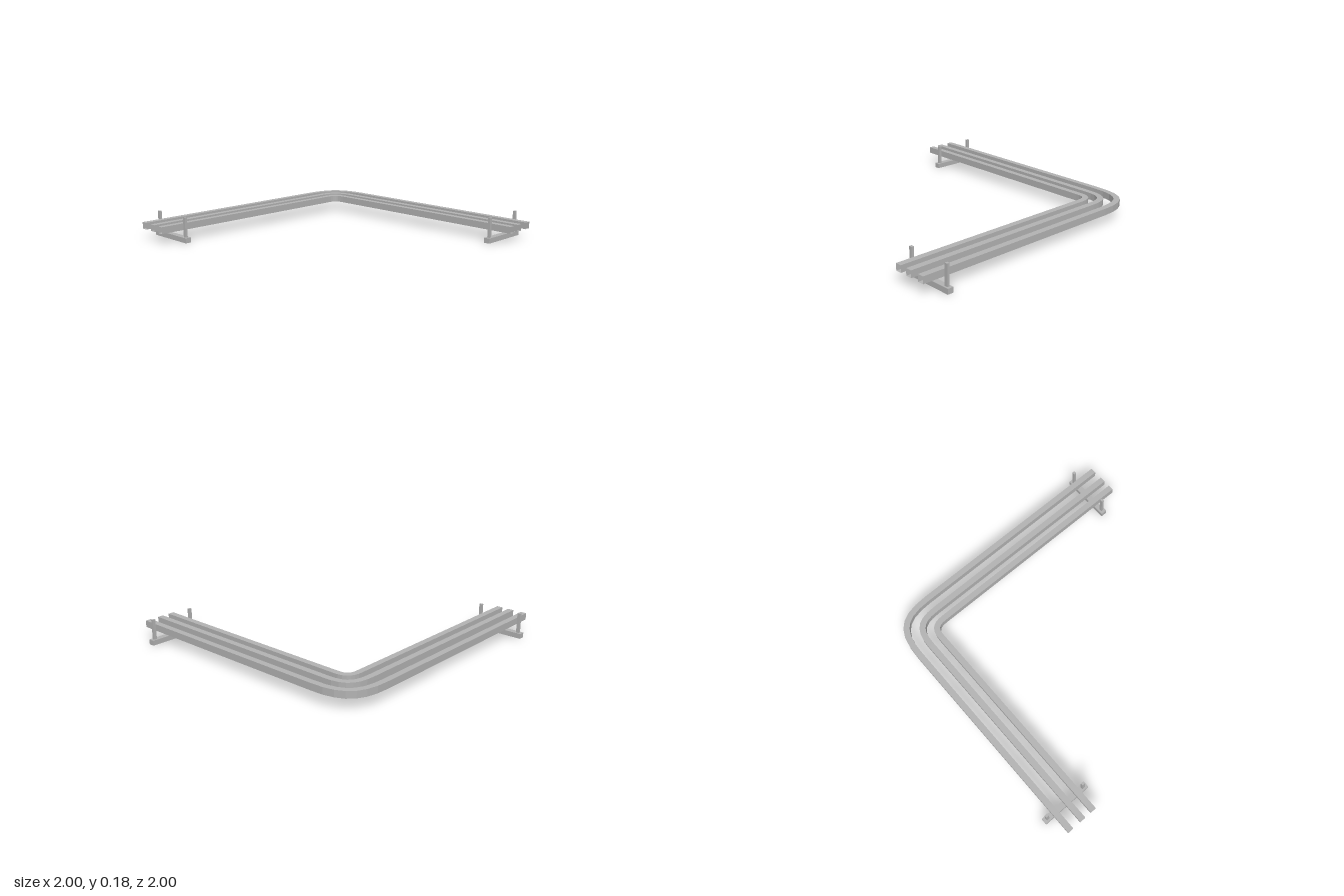
import * as THREE from 'three';

const steel = new THREE.MeshStandardMaterial({ color: 0xb2b2b2, side: THREE.DoubleSide });
steel.name = 'galvanised grey';

// Square duct with open ends, swept along a flat path with mitred corners
function ductGeometry(path, width, y0, y1) {
  const rings = path.map((p, i) => {
    const a = path[Math.max(i - 1, 0)], b = path[Math.min(i + 1, path.length - 1)];
    const d1 = (i > 0 ? p.clone().sub(a) : b.clone().sub(p)).normalize();
    const d2 = (i < path.length - 1 ? b.clone().sub(p) : d1.clone()).normalize();
    const t = d1.clone().add(d2).normalize();
    const h = width / 2 / t.dot(d1);
    const nx = -t.y * h, nz = t.x * h;
    return [[1, y0], [1, y1], [-1, y1], [-1, y0]].map(([s, y]) => [p.x + s * nx, y, p.y + s * nz]);
  });
  const pos = [];
  for (let i = 0; i < rings.length - 1; i++) {
    for (let j = 0; j < 4; j++) {
      const k = (j + 1) % 4;
      const a = rings[i][j], b = rings[i][k], c = rings[i + 1][k], d = rings[i + 1][j];
      pos.push(...a, ...d, ...c, ...a, ...c, ...b);
    }
  }
  const geometry = new THREE.BufferGeometry();
  geometry.setAttribute('position', new THREE.Float32BufferAttribute(pos, 3));
  geometry.computeVertexNormals();
  return geometry;
}

// L-shaped route: front end, rounded corner, side end
function routePath(c, r) {
  const v = (x, z) => new THREE.Vector2(x, z);
  const bend = new THREE.CubicBezierCurve(
    v(c, c + r), v(c, c + r * 0.25), v(c + r * 0.25, c), v(c + r, c));
  return [v(c, 1), ...bend.getPoints(7), v(1, c)];
}

function box(name, w, h, d, x, y, z) {
  const mesh = new THREE.Mesh(new THREE.BoxGeometry(w, h, d), steel);
  mesh.name = name;
  mesh.position.set(x, y, z);
  return mesh;
}

// Trapeze hanger: cross bar with two upright rods
function hanger(name) {
  const group = new THREE.Group();
  group.name = name;
  group.add(box('crossBar', 0.375, 0.036, 0.044, 0, 0.018, 0));
  for (const s of [-1, 1]) {
    group.add(box('hangerRod', 0.022, 0.144, 0.018, s * 0.157, 0.108, 0));
  }
  return group;
}

export function createModel() {
  const model = new THREE.Group();
  model.name = 'ductRun';

  // Three parallel ducts, outer to inner
  [['outerDuct', -0.911, 0.3], ['middleDuct', -0.806, 0.19], ['innerDuct', -0.714, 0.105]]
    .forEach(([name, c, r]) => {
      const mesh = new THREE.Mesh(ductGeometry(routePath(c, r), 0.043, 0.08, 0.128), steel);
      mesh.name = name;
      model.add(mesh);
    });

  // Hangers near each end
  const front = hanger('frontHanger');
  front.position.set(-0.8125, 0, 0.832);
  const side = hanger('sideHanger');
  side.position.set(0.855, 0, -0.8125);
  side.rotation.y = Math.PI / 2;
  model.add(front, side);

  return model;
}
